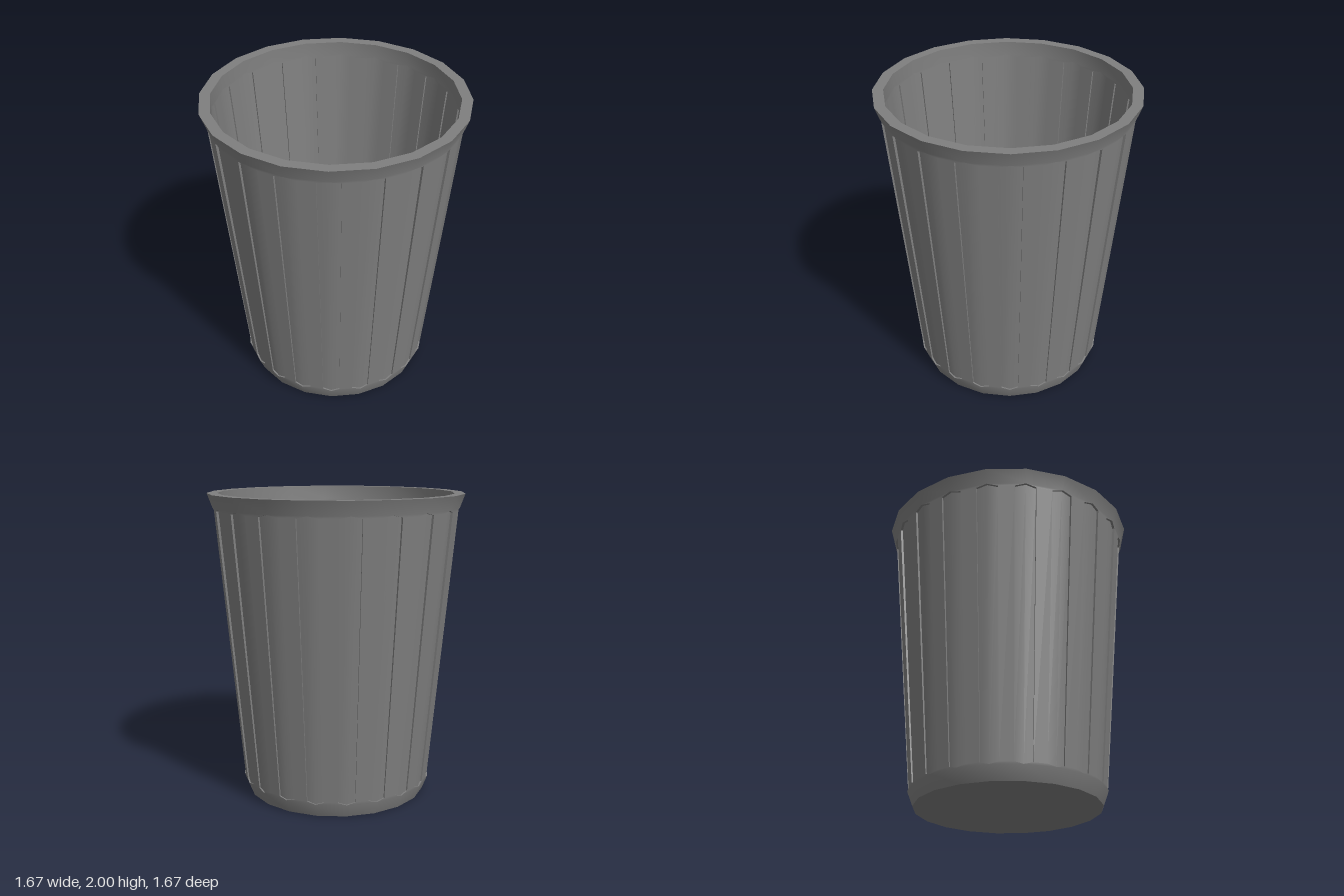
import * as THREE from 'three';
import { mergeGeometries, toCreasedNormals } from 'three/addons/utils/BufferGeometryUtils.js';

const SIDES = 20;
const Y0 = 0.09, Y1 = 1.91;   // wall between base band and rim
const NOTCH = 0.015;          // slanted ends of the grooves
const T = 0.285;              // groove half width as a fraction of one side
const THICK = 0.037;          // wall thickness at the top
const material = new THREE.MeshStandardMaterial({ color: 0x7f7f7f, side: THREE.DoubleSide });

// Point on side k of the tapering wall; t runs along the side, depth goes
// inward and shrinks toward the base
function wallPoint(k, t, y, depth) {
  const s = (y - Y0) / (Y1 - Y0);
  const r = 0.635 + (0.802 - 0.635) * s - depth * (0.65 + 0.35 * s);
  const corner = (i) => {
    const a = (i / SIDES) * Math.PI * 2;
    return new THREE.Vector3(Math.sin(a) * r, y, Math.cos(a) * r);
  };
  return corner(k).lerp(corner(k + 1), t);
}

// Collects quads given as four [t, y, depth] corners on each side of the wall
function wallGeometry(addSide) {
  const pos = [];
  for (let k = 0; k < SIDES; k++) {
    addSide((corners, flip) => {
      const p = corners.map(([t, y, d]) => wallPoint(k, t, y, d));
      if (flip) p.reverse();
      for (const i of [0, 1, 2, 0, 2, 3]) pos.push(p[i].x, p[i].y, p[i].z);
    });
  }
  const g = new THREE.BufferGeometry();
  g.setAttribute('position', new THREE.Float32BufferAttribute(pos, 3));
  g.computeVertexNormals();
  return g;
}

function band(profile) {
  const points = profile.map(([r, y]) => new THREE.Vector2(r, y));
  const g = new THREE.LatheGeometry(points, SIDES).toNonIndexed();
  g.deleteAttribute('uv');
  return g;
}

// Smooth across the shallow angles, sharp at grooves and rim
function makeMesh(name, geometry) {
  const mesh = new THREE.Mesh(toCreasedNormals(geometry, 0.6), material);
  mesh.name = name;
  return mesh;
}

export function createModel() {
  const group = new THREE.Group();
  group.name = 'wasteBasket';

  // Base with a slightly sunken floor, and flared rim
  const base = band([
    [0, 0], [0.6, 0], [0.635, Y0], [0.611, Y0],
    [0.599, 0.045], [0.565, 0.042], [0.558, 0.035], [0, 0.035],
  ]);
  const rim = band([[0.802, Y1], [0.835, 2], [0.767, 2], [0.802 - THICK, Y1]]);

  // Thick ribs in the middle of each side, spreading at both ends
  const lo = Y0 + NOTCH, hi = Y1 - NOTCH;
  const ribs = wallGeometry((quad) => {
    for (const d of [0, THICK]) {
      const inside = d > 0;
      quad([[0, Y0, d], [1, Y0, d], [1 - T, lo, d], [T, lo, d]], inside);
      quad([[T, lo, d], [1 - T, lo, d], [1 - T, hi, d], [T, hi, d]], inside);
      quad([[T, hi, d], [1 - T, hi, d], [1, Y1, d], [0, Y1, d]], inside);
    }
    // Groove walls on both flanks
    const edge = [[0, Y1], [T, hi], [T, lo], [0, Y0]];
    for (const mirror of [false, true]) {
      const at = ([t, y], d) => [mirror ? 1 - t : t, y, d];
      for (let i = 0; i < 3; i++) {
        const a = edge[i], b = edge[i + 1];
        quad([at(a, 0), at(a, THICK), at(b, THICK), at(b, 0)], mirror);
      }
    }
  });
  group.add(makeMesh('ribbedShell', mergeGeometries([base, ribs, rim])));

  // Thin recessed panels folded around each corner
  group.add(makeMesh('recessedPanels', wallGeometry((quad) => {
    for (const d of [0.015, 0.027]) {
      const inside = d > 0.02;
      quad([[0, Y0, d], [T, lo, d], [T, hi, d], [0, Y1, d]], inside);
      quad([[1 - T, lo, d], [1, Y0, d], [1, Y1, d], [1 - T, hi, d]], inside);
    }
  })));

  return group;
}
